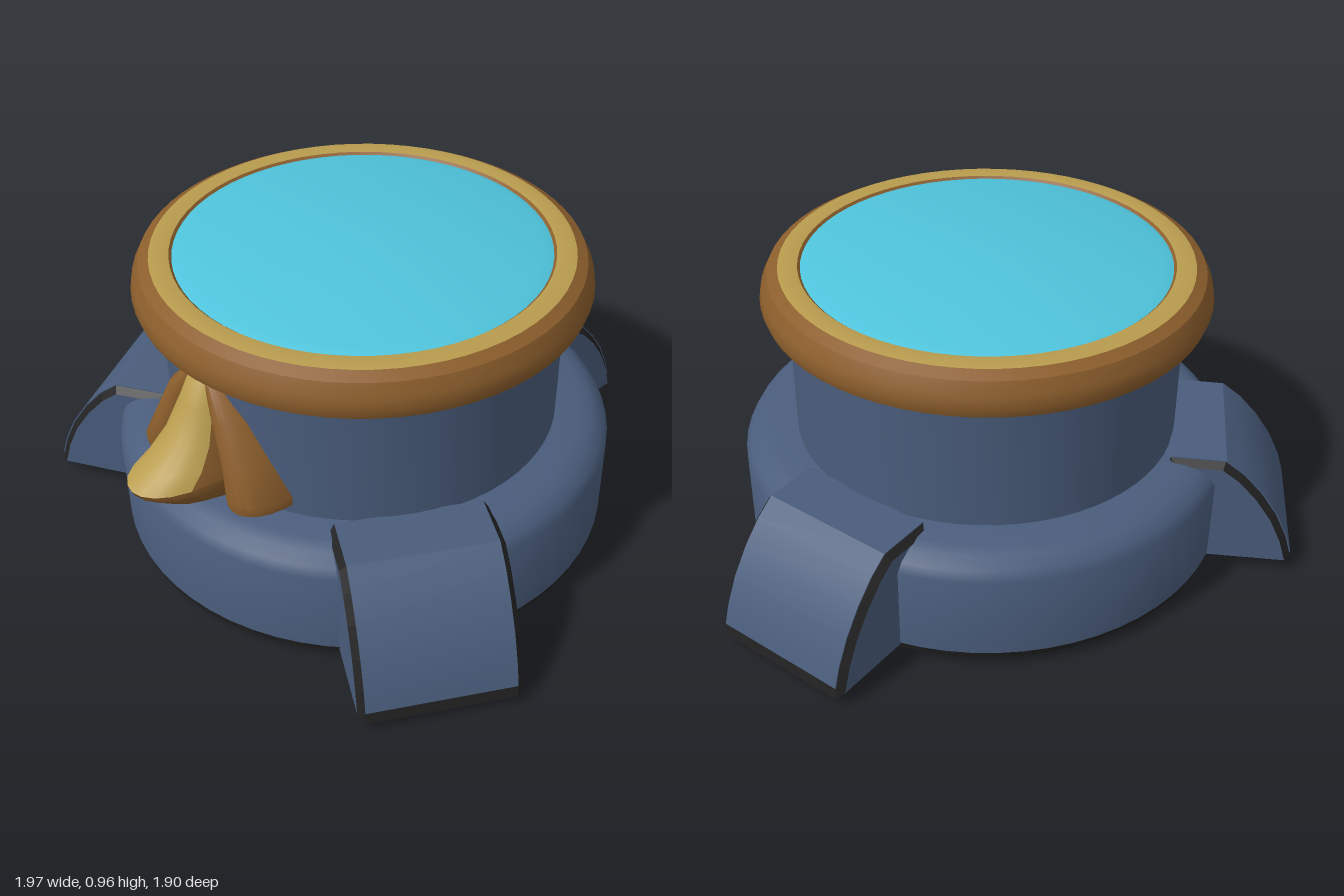
import * as THREE from 'three';
import { toCreasedNormals } from 'three/addons/utils/BufferGeometryUtils.js';

const material = (name, color, side = THREE.FrontSide) => {
  const m = new THREE.MeshStandardMaterial({ color, side });
  m.name = name;
  return m;
};

export function createModel() {
  const blue = material('slate blue', 0x4a5d7c);
  const black = material('black trim', 0x222222);
  const gold = material('gold', 0xb89c4e);
  const bronze = material('bronze', 0x8c5e2c);
  const cyan = material('cyan glass', 0x4fc4dc);

  const model = new THREE.Group();
  const body = new THREE.Group();
  body.name = 'pedestal';
  body.position.z = 0.055;
  model.add(body);

  const add = (parent, name, geometry, mat) => {
    const mesh = new THREE.Mesh(geometry, mat);
    mesh.name = name;
    parent.add(mesh);
    return mesh;
  };

  // Round parts, profiles run as [radius, height] from bottom to top
  const lathe = (name, mat, profile) => {
    const g = new THREE.LatheGeometry(profile.map(p => new THREE.Vector2(...p)), 64);
    return add(body, name, toCreasedNormals(g, 0.6), mat);
  };
  lathe('baseUnderside', blue, [[0, 0], [0.68, 0.008], [0.75, 0.02]]);
  lathe('baseTrim', black, [[0.75, 0.02], [0.775, 0.032], [0.782, 0.055]]);
  lathe('base', blue, [[0.782, 0.055], [0.782, 0.325], [0.765, 0.355], [0.73, 0.382], [0.69, 0.392], [0.6, 0.4]]);
  lathe('drum', blue, [[0.612, 0.38], [0.612, 0.785]]);
  lathe('drumTopBand', black, [[0.612, 0.785], [0.614, 0.83]]);
  lathe('rim', bronze, [[0.6, 0.82], [0.655, 0.815], [0.685, 0.83], [0.695, 0.86], [0.688, 0.895], [0.668, 0.935], [0.635, 0.953]]);
  lathe('rimTop', gold, [[0.635, 0.953], [0.605, 0.958], [0.575, 0.954]]);
  lathe('rimInnerLip', bronze, [[0.575, 0.954], [0.562, 0.942]]);
  lathe('glassTop', cyan, [[0.57, 0.946], [0.535, 0.958], [0, 0.961]]);

  // Three feet: blue faces with black bevelled edges, curved on top
  const curve = [[1.005, 0.065], [0.985, 0.13], [0.945, 0.215], [0.89, 0.295], [0.83, 0.36], [0.77, 0.405], [0.6, 0.408]];
  const toShape = pts => new THREE.Shape(pts.map(p => new THREE.Vector2(...p)));
  const footGeometry = new THREE.ExtrudeGeometry(toShape([[0.6, 0.03], [1.012, 0.03], ...curve]), {
    depth: 0.44, bevelEnabled: true, bevelSegments: 1, bevelSize: 0.02, bevelThickness: 0.02, bevelOffset: -0.02,
  }).translate(0, 0, -0.22);
  const platePoints = [
    ...curve.map(([x, y]) => [x + 0.003, y + 0.003]),
    ...curve.map(([x, y]) => [x - 0.004, y - 0.004]).reverse(),
  ];
  const plateGeometry = toCreasedNormals(
    new THREE.ExtrudeGeometry(toShape(platePoints), { depth: 0.44, bevelEnabled: false }).translate(0, 0, -0.22), 0.5);
  for (const [name, degrees] of [['leftFoot', -30], ['rightFoot', -150], ['backFoot', 90]]) {
    const foot = new THREE.Group();
    foot.name = name;
    foot.rotation.y = THREE.MathUtils.degToRad(degrees);
    add(foot, 'footBody', footGeometry, [blue, black]);
    add(foot, 'footTop', plateGeometry, blue);
    body.add(foot);
  }

  // Lobe from half-round sections [height, centre x, half width, front z, back z], top to bottom
  const N = 12;
  const loft = (sections, from = 0, to = N) => {
    const pos = [], index = [], cols = to - from + 1;
    sections.forEach(([y, cx, hw, zf, zb], j) => {
      for (let i = from; i <= to; i++) {
        const a = Math.PI * i / N;
        pos.push(cx + hw * Math.cos(a), y, zb + (zf - zb) * Math.pow(Math.max(0, Math.sin(a)), 0.7));
      }
      if (j === 0) return;
      for (let i = 0; i < cols - 1; i++) {
        const a = (j - 1) * cols + i, d = j * cols + i;
        index.push(a, a + 1, d + 1, a, d + 1, d);
      }
    });
    const g = new THREE.BufferGeometry();
    g.setAttribute('position', new THREE.Float32BufferAttribute(pos, 3));
    g.setIndex(index);
    return toCreasedNormals(g, 0.6);
  };

  // Three-lobed ornament on the front
  const ornament = new THREE.Group();
  ornament.name = 'frontOrnament';
  model.add(ornament);
  const centre = [
    [0.81, 0, 0.03, 0.66, 0.62], [0.78, 0, 0.055, 0.7, 0.62], [0.7, 0, 0.08, 0.735, 0.62],
    [0.6, 0, 0.105, 0.795, 0.62], [0.54, 0, 0.122, 0.865, 0.62], [0.5, 0, 0.132, 0.94, 0.62],
    [0.48, 0, 0.135, 0.93, 0.62], [0.435, 0, 0.125, 0.865, 0.62], [0.395, 0, 0.1, 0.75, 0.62], [0.395, 0, 0.08, 0.62, 0.62],
  ];
  add(ornament, 'centreLobeFront', loft(centre.slice(0, 6), 2, N - 2), gold);
  add(ornament, 'centreLobeLeftSide', loft(centre.slice(0, 6), 0, 2), bronze);
  add(ornament, 'centreLobeRightSide', loft(centre.slice(0, 6), N - 2, N), bronze);
  add(ornament, 'centreLobeUnderside', loft(centre.slice(5)), bronze);
  for (const [name, s] of [['leftLobe', 1], ['rightLobe', -1]]) {
    add(ornament, name, loft([
      [0.79, 0.03 * s, 0.03, 0.66, 0.58], [0.77, 0.045 * s, 0.04, 0.69, 0.57], [0.68, 0.1 * s, 0.075, 0.71, 0.56],
      [0.56, 0.155 * s, 0.085, 0.725, 0.55], [0.46, 0.195 * s, 0.095, 0.745, 0.54], [0.43, 0.195 * s, 0.095, 0.74, 0.54],
      [0.4, 0.18 * s, 0.075, 0.69, 0.54], [0.4, 0.18 * s, 0.07, 0.54, 0.54],
    ]), bronze);
  }
  return model;
}
